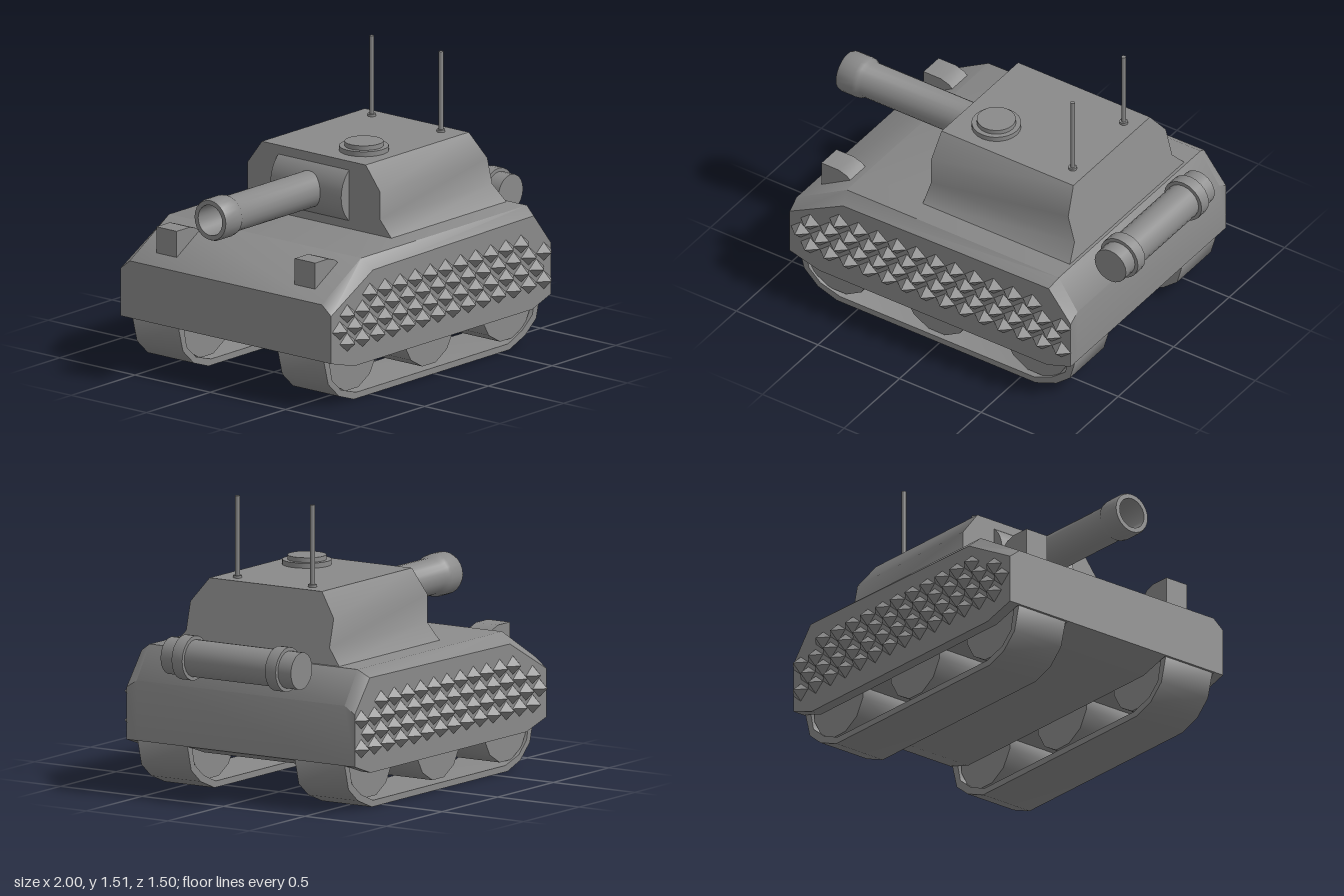
import * as THREE from 'three';
import { toCreasedNormals } from 'three/addons/utils/BufferGeometryUtils.js';

const material = new THREE.MeshStandardMaterial({ color: 0x8a8a8a });
const vectors = (points) => points.map(([x, y]) => new THREE.Vector2(x, y));

export function createModel() {
  const tank = new THREE.Group();

  const add = (name, geometry, x = 0, y = 0, z = 0) => {
    const mesh = new THREE.Mesh(geometry, material);
    mesh.name = name;
    mesh.position.set(x, y, z);
    tank.add(mesh);
    return mesh;
  };

  // Extrudes an x-y outline from z0 to z1
  const slab = (points, z0, z1, hole) => {
    const shape = new THREE.Shape(vectors(points));
    if (hole) shape.holes.push(new THREE.Path(vectors(hole)));
    return new THREE.ExtrudeGeometry(shape, { depth: z1 - z0, bevelEnabled: false }).translate(0, 0, z0);
  };

  // Joins convex counter-clockwise x-y sections along z, with end caps
  const loft = (sections) => {
    const positions = [], index = [], n = sections[0].points.length;
    for (const { z, points } of sections) for (const [x, y] of points) positions.push(x, y, z);
    for (let s = 0; s < sections.length - 1; s++) {
      for (let i = 0; i < n; i++) {
        const a = s * n + i, b = s * n + (i + 1) % n;
        index.push(a, b, b + n, a, b + n, a + n);
      }
    }
    const end = (sections.length - 1) * n;
    for (let i = 1; i < n - 1; i++) index.push(0, i + 1, i, end, end + i, end + i + 1);
    const geometry = new THREE.BufferGeometry();
    geometry.setAttribute('position', new THREE.Float32BufferAttribute(positions, 3));
    geometry.setIndex(index);
    return geometry;
  };

  const zCylinder = (radius, length, sides) =>
    toCreasedNormals(new THREE.CylinderGeometry(radius, radius, length, sides).rotateX(Math.PI / 2), 0.6);

  // Hull with chamfered upper edges, softly shaded along the nose and tail
  const outline = [[-0.878, 0.25], [0.845, 0.25], [0.845, 0.56], [0.73, 0.73], [-0.57, 0.73], [-0.878, 0.55]];
  const inset = [[-0.878, 0.25], [0.845, 0.25], [0.845, 0.52], [0.71, 0.69], [-0.55, 0.675], [-0.878, 0.5]];
  const hull = loft([
    { z: -0.7, points: inset }, { z: -0.638, points: outline },
    { z: 0.638, points: outline }, { z: 0.7, points: inset },
  ]);
  add('hull', toCreasedNormals(hull, 0.62));

  // Belly and side skirts
  const underside = [[-0.878, 0.25], [-0.7, 0.2], [0.7, 0.2], [0.845, 0.25]];
  add('belly', slab(underside, -0.317, 0.325));
  for (const [z0, z1] of [[-0.7, -0.64], [0.645, 0.7]]) add('skirt', slab(underside, z0, z1));

  // Tracks and road wheels
  const trackOuter = [[-0.865, 0.25], [-0.83, 0.12], [-0.745, 0.04], [-0.63, 0], [0.59, 0], [0.715, 0.05],
    [0.8, 0.12], [0.835, 0.25], [0.75, 0.4], [-0.78, 0.4]];
  const trackInner = [[-0.825, 0.25], [-0.8, 0.135], [-0.73, 0.07], [-0.61, 0.033], [0.58, 0.033], [0.69, 0.08],
    [0.77, 0.145], [0.795, 0.25], [0.72, 0.37], [-0.75, 0.37]];
  const track = toCreasedNormals(slab(trackOuter, -0.153, 0.153, trackInner), 0.8);
  const wheel = zCylinder(0.2, 0.28, 12).rotateZ(Math.PI / 12);
  for (const z of [-0.478, 0.487]) {
    add('track', track, 0, 0, z);
    for (const x of [-0.63, -0.025, 0.585]) add('roadWheel', wheel, x, 0.245, z);
  }

  // Staggered rows of touching pyramid studs on both sides: height, first x, count
  const pitch = 0.1185;
  const rows = [[0.563, -0.575, 11], [0.487, -0.752, 14], [0.411, -0.811, 14], [0.337, -0.752, 14]];
  const stud = toCreasedNormals(
    new THREE.ConeGeometry(pitch / 2, 0.053, 4).rotateX(Math.PI / 2).scale(1, 0.83, 1), 0.1);
  for (const side of [-1, 1]) {
    for (const [y, start, count] of rows) {
      for (let i = 0; i < count; i++) {
        add('stud', stud, start + i * pitch, y, side * 0.7255).rotation.y = side > 0 ? 0 : Math.PI;
      }
    }
  }

  // Turret: cross-section run along x, with a sloping rear face and soft side folds
  const half = [[0.515, 0.73], [0.44, 0.815], [0.44, 0.96], [0.345, 1.085]];
  const section = [...half, ...half.map(([z, y]) => [-z, y]).reverse()];
  const turret = slab(section, 0, 1).rotateY(Math.PI / 2);
  const p = turret.attributes.position;
  for (let i = 0; i < p.count; i++) {
    const rear = 0.714 - (p.getY(i) - 0.73) * 0.265;
    p.setX(i, p.getX(i) > 0.5 ? rear : -0.188);
  }
  add('turret', toCreasedNormals(turret, 0.82));

  // Rounded mantlet, main gun with hollow muzzle, small side gun
  add('mantlet', zCylinder(0.174, 0.47, 32), -0.077, 0.905, 0);
  const barrelProfile = [[0.095, 0.15], [0.095, 0.855], [0.107, 0.875], [0.11, 0.9], [0.11, 0.985], [0.104, 1],
    [0.08, 1], [0.075, 0.75], [0, 0.75]];
  const barrel = new THREE.LatheGeometry(vectors(barrelProfile), 24).rotateZ(Math.PI / 2);
  add('gunBarrel', toCreasedNormals(barrel, 0.7), 0, 0.905, 0);
  const sideGun = new THREE.CylinderGeometry(0.017, 0.017, 0.1, 10).rotateZ(Math.PI / 2);
  add('sideGun', sideGun, -0.255, 0.89, -0.14);

  // Roof hatch
  add('hatchRing', new THREE.CylinderGeometry(0.126, 0.126, 0.03, 24), 0.02, 1.096, 0.157);
  add('hatchLid', new THREE.CylinderGeometry(0.099, 0.1, 0.027, 24), 0.02, 1.121, 0.157);

  // Aerials
  for (const z of [-0.23, 0.23]) {
    add('aerialBase', new THREE.CylinderGeometry(0.022, 0.022, 0.02, 12), 0.537, 1.088, z);
    add('aerial', new THREE.CylinderGeometry(0.012, 0.012, 0.43, 10), 0.537, 1.293, z);
  }

  // Rear drum with two straps
  add('drum', zCylinder(0.096, 0.8, 20), 0.884, 0.72, 0);
  for (const z of [-0.287, 0.287]) add('drumStrap', zCylinder(0.115, 0.065, 20), 0.884, 0.72, z);

  // Headlamp housings on the sloping front
  const lamp = [[-0.8, 0.57], [-0.62, 0.57], [-0.62, 0.695], [-0.645, 0.717], [-0.695, 0.733], [-0.8, 0.733]];
  const lampBody = toCreasedNormals(slab(lamp, -0.068, 0.068), 0.6);
  for (const z of [-0.46, 0.46]) add('headlamp', lampBody, 0, 0, z);

  return tank;
}
